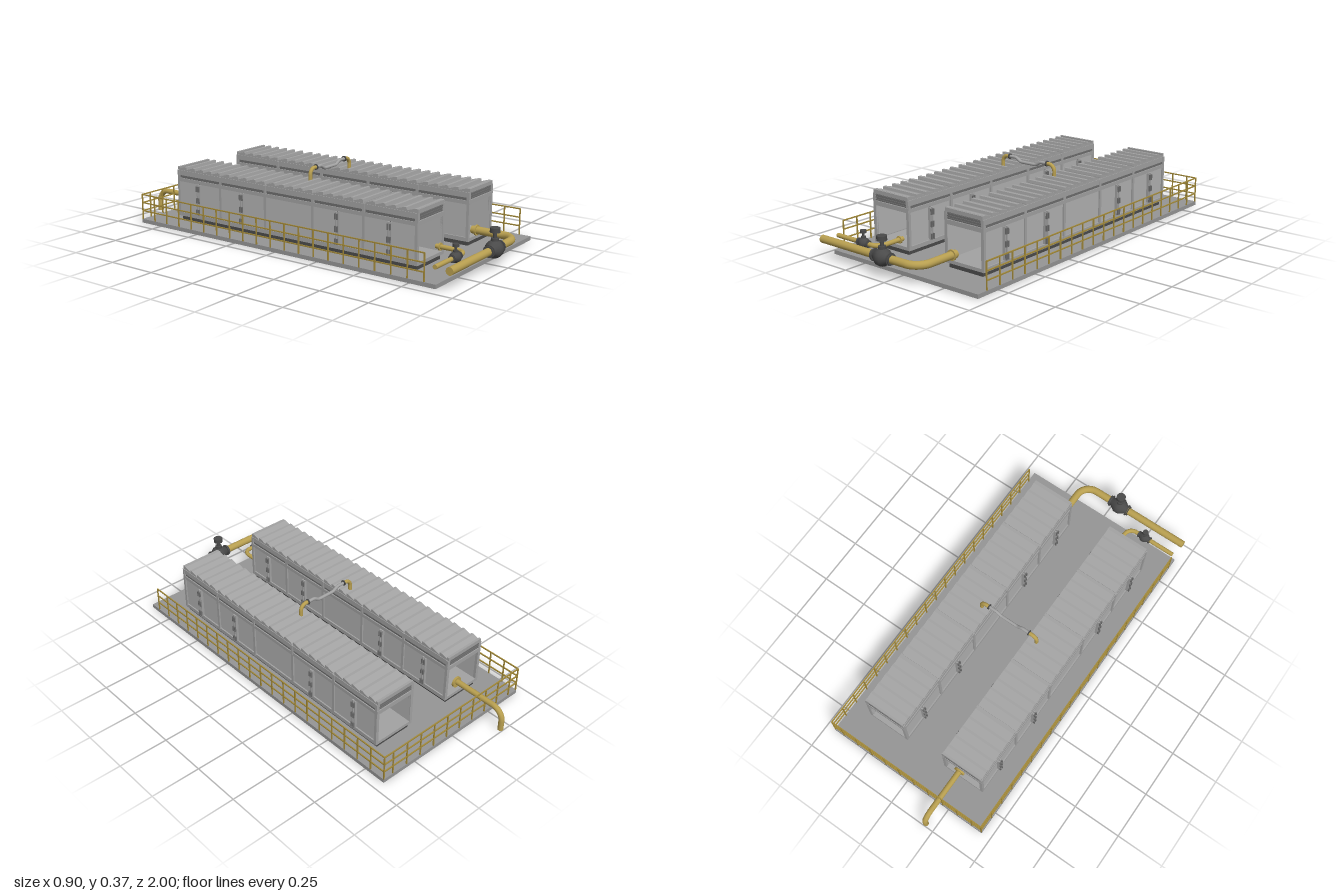
import * as THREE from 'three';

const mat = (name, color, side = THREE.FrontSide) => {
  const m = new THREE.MeshStandardMaterial({ color, side });
  m.name = name;
  return m;
};

export function createModel() {
  const slabGrey = mat('slab grey', 0x959595);
  const frameGrey = mat('frame grey', 0xa2a2a2);
  const panelGrey = mat('panel grey', 0xb2b2b2);
  const louverGrey = mat('louver grey', 0x6e6e6e);
  const darkGrey = mat('dark grey', 0x4a4a4a);
  const yellow = mat('pipe yellow', 0xb89f50);
  const railYellow = mat('rail yellow', 0xa38a3a);

  const model = new THREE.Group();
  model.name = 'containerStation';

  const add = (parent, name, geo, material, x = 0, y = 0, z = 0) => {
    const m = new THREE.Mesh(geo, material);
    m.name = name;
    m.position.set(x, y, z);
    parent.add(m);
    return m;
  };
  // box given by its limits on each axis
  const box = (parent, name, material, x0, x1, y0, y1, z0, z1) =>
    add(parent, name, new THREE.BoxGeometry(x1 - x0, y1 - y0, z1 - z0), material,
      (x0 + x1) / 2, (y0 + y1) / 2, (z0 + z1) / 2);
  const group = (name, parent = model) => {
    const g = new THREE.Group();
    g.name = name;
    parent.add(g);
    return g;
  };

  // ground slab
  box(model, 'slab', slabGrey, -0.45, 0.45, 0.003, 0.023, -0.87, 0.89);

  // railings along both sides and the back
  const railing = group('railing');
  const t = 0.0028, rx = 0.447, zBack = -0.867, zFront = 0.83;
  const rails = [0.067, 0.11, 0.153];
  for (const y of rails) {
    box(railing, 'backRail', railYellow, -rx, rx, y - t, y + t, zBack - t, zBack + t);
    for (const s of [-1, 1])
      box(railing, 'sideRail', railYellow, s * rx - t, s * rx + t, y - t, y + t, zBack, zFront);
  }
  const post = (x, z) => box(railing, 'railPost', railYellow, x - t, x + t, 0.02, 0.155, z - t, z + t);
  for (let i = 0; i < 10; i++) post(-0.3915 + i * 0.087, zBack);
  for (const s of [-1, 1])
    for (let i = 0; i <= 20; i++) post(s * rx, zBack + (i / 20) * (zFront - zBack));

  // one row of five open-ended containers, centred on its own x
  const zA = -0.71, seg = 0.288, zB = zA + 5 * seg;
  function containerRow(name, cx) {
    const g = group(name);
    g.position.x = cx;
    box(g, 'plinth', darkGrey, -0.1, 0.1, 0.022, 0.046, zA + 0.01, zB - 0.01);
    box(g, 'floor', frameGrey, -0.113, 0.113, 0.046, 0.062, zA, zB);
    box(g, 'ceiling', frameGrey, -0.108, 0.108, 0.24, 0.288, zA + 0.006, zB - 0.006);

    for (const s of [-1, 1]) {
      const side = (n, m, a, b, ...rest) =>
        box(g, n, m, Math.min(s * a, s * b), Math.max(s * a, s * b), ...rest);
      side('sidePanel', panelGrey, 0.1, 0.108, 0.06, 0.24, zA + 0.003, zB - 0.003);
      side('topBeam', frameGrey, 0.1, 0.115, 0.228, 0.246, zA, zB);
      side('sideLouver', louverGrey, 0.105, 0.11, 0.246, 0.262, zA + 0.004, zB - 0.004);
      side('eaveBeam', frameGrey, 0.1, 0.114, 0.26, 0.286, zA, zB);
      side('bottomBeam', frameGrey, 0.1, 0.115, 0.046, 0.066, zA, zB);
      // posts at each joint
      for (let i = 0; i <= 5; i++) {
        const z = THREE.MathUtils.clamp(zA + i * seg, zA + 0.007, zB - 0.007);
        side('jointPost', frameGrey, 0.1, 0.116, 0.05, 0.286, z - 0.007, z + 0.007);
      }
      // paired door bars with hinge blocks, none on the middle container
      for (const i of [0, 1, 3, 4]) {
        const z = zA + (i + 0.5) * seg;
        for (const d of [-0.0065, 0.0065]) {
          side('doorBar', frameGrey, 0.106, 0.122, 0.068, 0.226, z + d - 0.0035, z + d + 0.0035);
          for (const y of [0.085, 0.145, 0.205])
            side('doorHinge', louverGrey, 0.118, 0.13, y - 0.014, y + 0.014, z + d - 0.003, z + d + 0.003);
        }
        side('doorSeam', darkGrey, 0.107, 0.1095, 0.068, 0.226, z - 0.003, z + 0.003);
      }
    }

    // louvred header at both ends
    for (const [z, s] of [[zB, 1], [zA, -1]]) {
      const end = (n, m, w, y0, y1, d0, d1) =>
        box(g, n, m, -w, w, y0, y1, Math.min(z + s * d0, z + s * d1), Math.max(z + s * d0, z + s * d1));
      end('headerTop', frameGrey, 0.111, 0.284, 0.303, -0.012, 0);
      end('headerBottom', frameGrey, 0.115, 0.228, 0.25, -0.012, 0.001);
      end('headerLouver', louverGrey, 0.108, 0.25, 0.284, -0.01, -0.005);
      for (let i = 0; i < 3; i++)
        end('louverSlat', louverGrey, 0.108, 0.254 + i * 0.011, 0.258 + i * 0.011, -0.006, -0.001);
    }

    // stepped roof slats, five to a container, high edge to the front
    const n = 5, pitch = (seg - 0.008) / n;
    const profile = new THREE.Shape();
    profile.moveTo(0, 0.284);
    for (let k = 0; k < n; k++) {
      profile.lineTo(k * pitch, 0.291);
      profile.lineTo((k + 0.72) * pitch, 0.304);
      profile.lineTo((k + 0.96) * pitch, 0.304);
      profile.lineTo((k + 1) * pitch, 0.291);
    }
    profile.lineTo(n * pitch, 0.284);
    const roofGeo = new THREE.ExtrudeGeometry(profile, { depth: 0.222, bevelEnabled: false });
    roofGeo.rotateY(-Math.PI / 2);
    for (let i = 0; i < 5; i++)
      add(g, 'roofSlats', roofGeo, frameGrey, 0.111, 0, zA + 0.004 + i * seg);
  }
  containerRow('leftContainerRow', 0.228);
  containerRow('rightContainerRow', -0.228);

  // pipe through corner points with rounded bends
  const V = (x, y, z) => new THREE.Vector3(x, y, z);
  function pipe(name, material, pts, r, bend) {
    const path = new THREE.CurvePath();
    let last = pts[0];
    for (let i = 1; i < pts.length - 1; i++) {
      const p = pts[i];
      const a = p.clone().add(pts[i - 1].clone().sub(p).setLength(bend));
      const b = p.clone().add(pts[i + 1].clone().sub(p).setLength(bend));
      path.add(new THREE.LineCurve3(last, a));
      path.add(new THREE.CubicBezierCurve3(a, a.clone().lerp(p, 0.55), b.clone().lerp(p, 0.55), b));
      last = b;
    }
    const end = pts[pts.length - 1];
    path.add(new THREE.LineCurve3(last, end));
    add(model, name, new THREE.TubeGeometry(path, 80, r, 16), material);
    // end caps
    [[pts[0], pts[1]], [end, pts[pts.length - 2]]].forEach(([p, q]) => {
      const cap = add(model, name + 'Cap', new THREE.CircleGeometry(r, 16), material, p.x, p.y, p.z);
      cap.lookAt(p.clone().multiplyScalar(2).sub(q));
    });
  }
  function flange(parent, name, material, x, y, z, r, w, axis) {
    const geo = new THREE.CylinderGeometry(r, r, w, 20);
    if (axis === 'x') geo.rotateZ(Math.PI / 2);
    if (axis === 'z') geo.rotateX(Math.PI / 2);
    add(parent, name, geo, material, x, y, z);
  }

  // front pipes and the back outlet
  pipe('mainPipe', yellow, [V(-0.45, 0.095, 0.955), V(0.168, 0.095, 0.955), V(0.168, 0.095, 0.72)], 0.019, 0.075);
  flange(model, 'mainFlange', yellow, 0.168, 0.095, 0.745, 0.026, 0.008, 'z');
  pipe('smallPipe', yellow, [V(-0.435, 0.095, 0.875), V(-0.165, 0.095, 0.875), V(-0.165, 0.095, 0.72)], 0.011, 0.045);
  flange(model, 'smallFlange', yellow, -0.165, 0.095, 0.742, 0.018, 0.007, 'z');
  pipe('outletPipe', yellow, [V(-0.2, 0.112, -0.69), V(-0.2, 0.112, -0.986), V(-0.2, 0, -0.986)], 0.014, 0.06);
  flange(model, 'outletFlange', yellow, -0.2, 0.108, -0.7, 0.028, 0.01, 'z');

  // valves: bulging body, end flanges, stem and hand wheel
  function valve(name, x, y, z, k) {
    const g = group(name);
    g.position.set(x, y, z);
    g.scale.setScalar(k);
    const prof = [[0.02, -0.052], [0.024, -0.04], [0.041, -0.016], [0.043, 0], [0.041, 0.016], [0.024, 0.04], [0.02, 0.052]];
    const body = new THREE.LatheGeometry(prof.map(p => new THREE.Vector2(...p)), 16);
    add(g, 'valveBody', body.rotateZ(Math.PI / 2), darkGrey);
    for (const s of [-1, 1]) {
      flange(g, 'valveFlange', darkGrey, s * 0.049, 0, 0, 0.03, 0.006, 'x');
      flange(g, 'valveCounterFlange', darkGrey, s * 0.057, 0, 0, 0.026, 0.005, 'x');
    }
    flange(g, 'valveBonnet', darkGrey, 0, 0.045, 0, 0.018, 0.014, 'y');
    flange(g, 'valveStem', darkGrey, 0, 0.06, 0, 0.009, 0.05, 'y');
    flange(g, 'handWheel', darkGrey, 0, 0.089, 0, 0.024, 0.022, 'y');
  }
  valve('mainValve', -0.052, 0.095, 0.955, 1);
  valve('smallValve', -0.26, 0.095, 0.875, 0.62);

  // bridge pipe between the two roofs
  const zp = 0.005, yTop = 0.355;
  for (const s of [-1, 1]) {
    pipe('bridgeElbow', yellow, [V(s * 0.163, 0.29, zp), V(s * 0.163, yTop, zp), V(s * 0.118, yTop, zp)], 0.0095, 0.032);
    flange(model, 'bridgeFlange', darkGrey, s * 0.118, yTop, zp, 0.014, 0.006, 'x');
  }
  pipe('bridgePipe', frameGrey, [V(-0.118, yTop, zp), V(-0.077, yTop, zp), V(-0.048, 0.337, zp),
    V(0.048, 0.337, zp), V(0.077, yTop, zp), V(0.118, yTop, zp)], 0.008, 0.008);

  return model;
}
